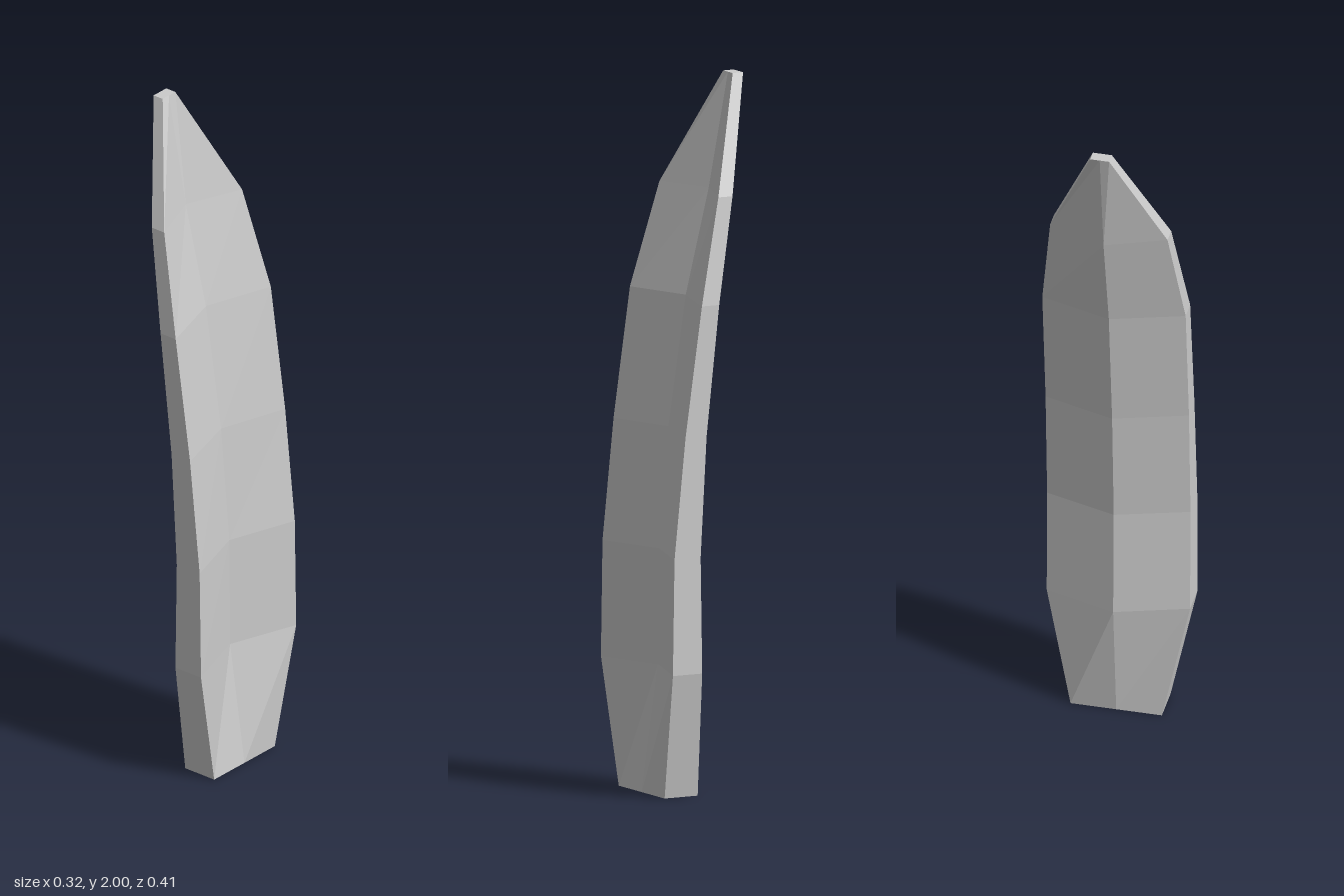
import * as THREE from 'three';

// Stations along the blade: height, outer ridge x, outer edge x, inner edge x, inner crease x, half width
const stations = [
  [0.00, 0.04, 0.04, 0.145, 0.145, 0.13],
  [0.355, 0.003, 0.067, 0.16, 0.093, 0.204],
  [0.68, 0.01, 0.072, 0.155, 0.09, 0.204],
  [1.02, -0.01, 0.053, 0.12, 0.06, 0.204],
  [1.385, -0.05, 0.013, 0.068, 0.005, 0.204],
  [1.68, -0.115, -0.05, -0.005, -0.068, 0.167],
  [2.00, -0.162, -0.162, -0.129, -0.129, 0.027],
];

// Chevron cross-section, counterclockwise seen from above
function chevron([y, ridge, outer, inner, crease, w]) {
  return [
    inner, y, w, crease, y, 0, inner, y, -w,
    outer, y, -w, ridge, y, 0, outer, y, w,
  ];
}

function bladeGeometry() {
  const n = 6;
  const positions = stations.flatMap(chevron);
  const index = [];
  // Sides between neighbouring sections
  for (let k = 0; k < stations.length - 1; k++) {
    for (let i = 0; i < n; i++) {
      const a = k * n + i;
      const b = k * n + (i + 1) % n;
      index.push(a, b, b + n, a, b + n, a + n);
    }
  }
  // Flat rectangular ends
  const t = (stations.length - 1) * n;
  index.push(t, t + 2, t + 3, t, t + 3, t + 5);
  index.push(0, 3, 2, 0, 5, 3);

  const indexed = new THREE.BufferGeometry();
  indexed.setAttribute('position', new THREE.Float32BufferAttribute(positions, 3));
  indexed.setIndex(index);
  const geometry = indexed.toNonIndexed();
  geometry.computeVertexNormals();
  return geometry;
}

export function createModel() {
  const group = new THREE.Group();
  group.name = 'curvedBlade';
  const material = new THREE.MeshStandardMaterial({ color: 0xcccccc, flatShading: true });
  const blade = new THREE.Mesh(bladeGeometry(), material);
  blade.name = 'blade';
  group.add(blade);
  return group;
}
